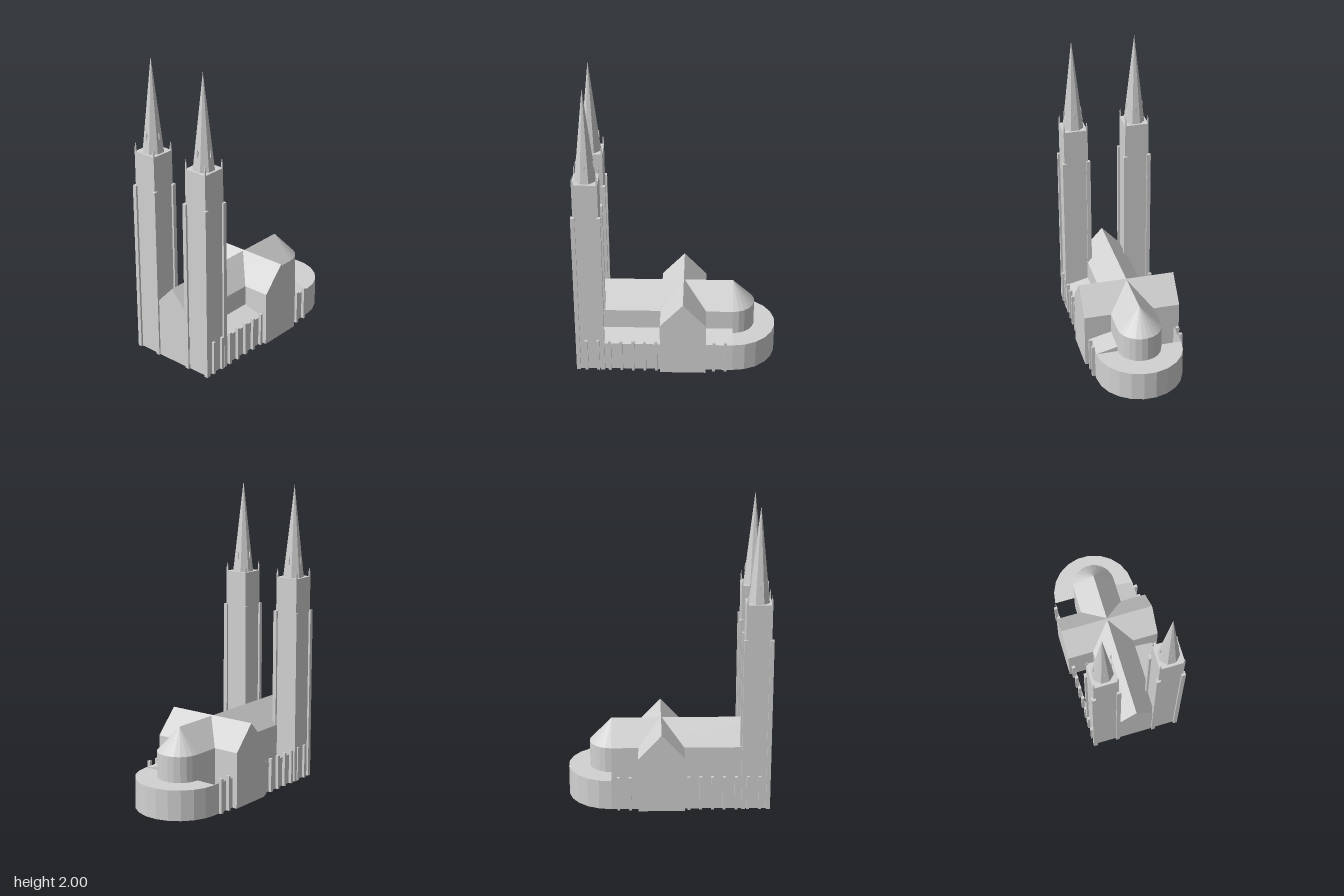
import * as THREE from 'three';

export function createModel() {
  const stone = new THREE.MeshStandardMaterial({ color: 0xd2d2d2, flatShading: true, side: THREE.DoubleSide });
  stone.name = 'greyStone';

  const model = new THREE.Group();
  model.name = 'cathedral';
  // local frame: +x runs along the nave to the apse, origin at the crossing
  const church = new THREE.Group();
  church.name = 'church';
  church.position.set(0.055, 0, 0.011);
  church.rotation.y = -0.065;
  model.add(church);

  const add = (parent, name, geometry, x = 0, y = 0, z = 0) => {
    const mesh = new THREE.Mesh(geometry, stone);
    mesh.name = name;
    mesh.position.set(x, y, z);
    parent.add(mesh);
    return mesh;
  };
  const box = (parent, name, w, h, d, x, y, z) =>
    add(parent, name, new THREE.BoxGeometry(w, h, d), x, y + h / 2, z);
  // shell standing on the ground: profile (z, y) extruded from z0 to z1, floor left open
  const shell = (points, z0, z1) => {
    const solid = new THREE.ExtrudeGeometry(new THREE.Shape(points.map(p => new THREE.Vector2(...p))),
      { depth: z1 - z0, bevelEnabled: false }).translate(0, 0, z0);
    const src = solid.attributes.position.array, kept = [];
    for (let i = 0; i < src.length; i += 9)
      if (Math.max(src[i + 1], src[i + 4], src[i + 7]) > 1e-5) kept.push(...src.slice(i, i + 9));
    const g = new THREE.BufferGeometry();
    g.setAttribute('position', new THREE.Float32BufferAttribute(kept, 3));
    g.computeVertexNormals();
    return g;
  };
  const alongNave = g => g.rotateY(Math.PI / 2);

  const EAVE = 0.37, NAVE_RIDGE = 0.527, NAVE = 0.145, AISLE = 0.287, APSE_X = 0.328;
  const gable = (w, ridge) => [[-w, 0], [w, 0], [w, EAVE], [0, ridge], [-w, EAVE]];

  // nave with choir, and the crossing transept
  add(church, 'naveAndChoir', alongNave(shell(gable(NAVE, NAVE_RIDGE), -0.695, APSE_X)));
  add(church, 'transept', shell(gable(0.151, 0.533), -0.323, 0.323));

  // apse with half-cone roof
  add(church, 'apseWall', new THREE.CylinderGeometry(NAVE, NAVE, EAVE, 11, 1, true, 0, Math.PI),
    APSE_X, EAVE / 2, 0);
  add(church, 'apseRoof', new THREE.ConeGeometry(NAVE, NAVE_RIDGE - EAVE, 11, 1, true, 0, Math.PI),
    APSE_X, (EAVE + NAVE_RIDGE) / 2, 0);

  // low ambulatory around the apse, open underneath
  add(church, 'ambulatoryWall',
    new THREE.CylinderGeometry(AISLE, AISLE, 0.2, 11, 1, true, 0, Math.PI), APSE_X, 0.1, 0);
  add(church, 'ambulatoryRoof',
    new THREE.RingGeometry(NAVE, AISLE, 11, 1, -Math.PI / 2, Math.PI).rotateX(-Math.PI / 2),
    APSE_X, 0.2, 0);

  // side aisles: roofed on the south, bare outer wall on the north
  for (const [x0, x1] of [[-0.6, -0.15], [0.15, APSE_X]]) {
    const profile = [[-AISLE, 0], [-NAVE, 0], [-NAVE, 0.235], [-AISLE, 0.2]];
    add(church, 'southAisle', alongNave(shell(profile, x0, x1)));
    add(church, 'northAisleWall', new THREE.PlaneGeometry(x1 - x0, 0.2).rotateY(Math.PI),
      (x0 + x1) / 2, 0.1, -AISLE);
  }

  // rows of wall buttresses
  const buttressX = [0.205, 0.281];
  for (let i = 0; i < 7; i++) buttressX.push(-0.176 - i * 0.077);
  for (const side of [-1, 1])
    for (const x of buttressX)
      box(church, 'aisleButtress', 0.019, 0.23, 0.022, x, 0, side * 0.297);

  // twin towers
  for (const side of [-1, 1]) {
    const tower = new THREE.Group();
    tower.name = side > 0 ? 'southTower' : 'northTower';
    tower.position.set(-0.612, 0, side * 0.21);
    church.add(tower);
    const half = 0.081;
    add(tower, 'towerShaft', shell([[-half, 0], [half, 0], [half, 1.388], [-half, 1.388]], -half, half));

    for (const sx of [-1, 1]) for (const sz of [-1, 1]) {
      box(tower, 'cornerButtress', 0.027, 1.16, 0.027, sx * 0.081, 0, sz * 0.081);
      // corner pinnacle
      box(tower, 'pinnacleBase', 0.009, 0.03, 0.009, sx * 0.076, 1.388, sz * 0.076);
      add(tower, 'pinnacleTip', new THREE.ConeGeometry(0.006, 0.035, 4, 1, false, Math.PI / 4),
        sx * 0.076, 1.435, sz * 0.076);
    }

    // octagonal spire
    add(tower, 'spire', new THREE.ConeGeometry(0.07, 0.612, 8, 1, true, Math.PI / 8), 0, 1.694, 0);

    // small dormers on four spire faces
    for (let i = 0; i < 4; i++) {
      const a = i * Math.PI / 2, x = Math.cos(a) * 0.055, z = Math.sin(a) * 0.055;
      box(tower, 'dormer', 0.009, 0.03, 0.009, x, 1.475, z);
      add(tower, 'dormerTip', new THREE.ConeGeometry(0.006, 0.028, 4, 1, false, Math.PI / 4), x, 1.519, z);
    }
  }
  return model;
}
